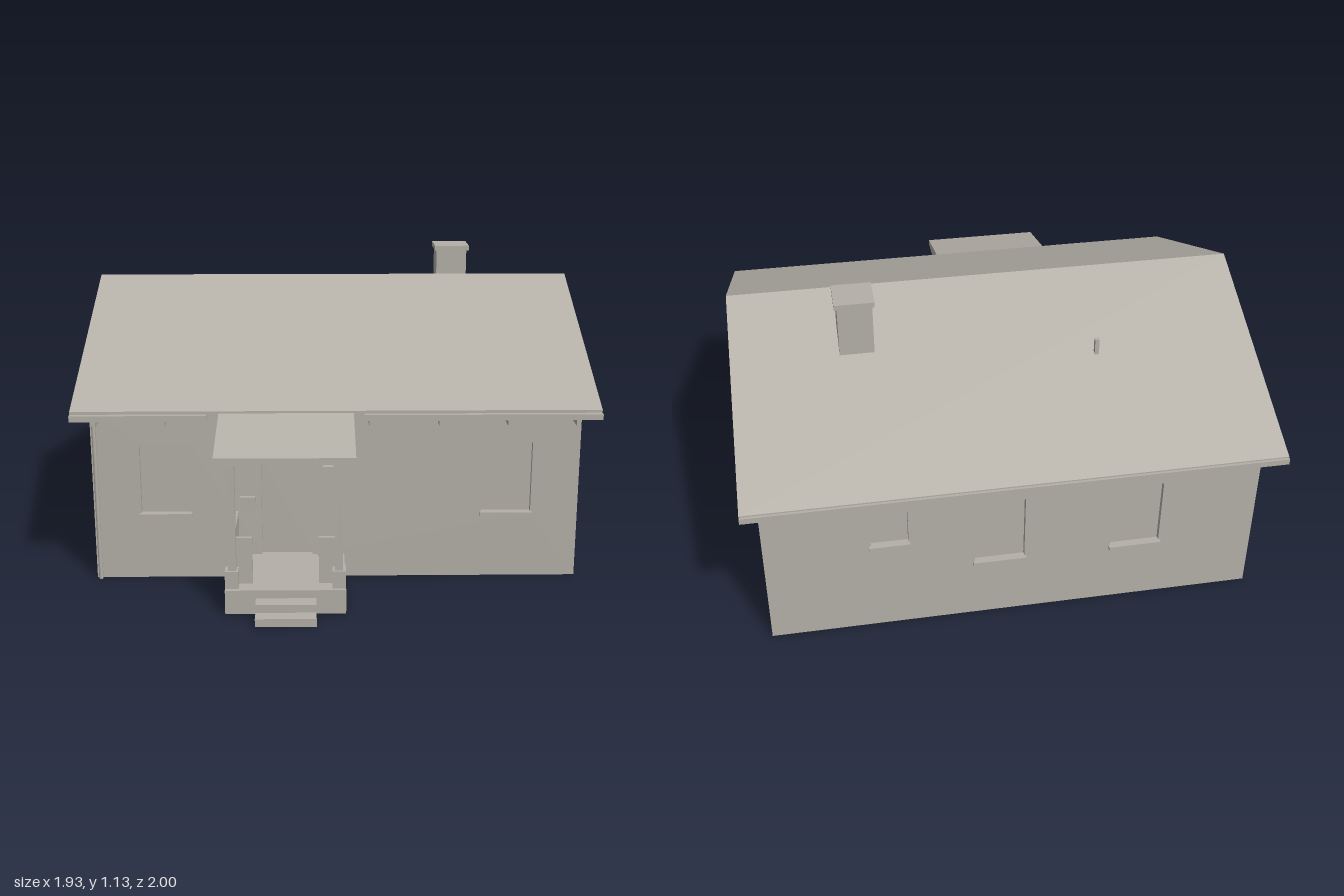
import * as THREE from 'three';

export function createModel() {
  const house = new THREE.Group();
  house.name = 'house';
  const stone = new THREE.MeshStandardMaterial({ color: 0xb4b0a8, side: THREE.DoubleSide });
  stone.name = 'warm grey';

  function add(name, geometry, parent = house) {
    const mesh = new THREE.Mesh(geometry, stone);
    mesh.name = name;
    parent.add(mesh);
    return mesh;
  }
  // Box given by its limits on each axis
  function box(name, x0, x1, y0, y1, z0, z1, parent) {
    const m = add(name, new THREE.BoxGeometry(x1 - x0, y1 - y0, z1 - z0), parent);
    m.position.set((x0 + x1) / 2, (y0 + y1) / 2, (z0 + z1) / 2);
    return m;
  }
  // Profile of [z, y] points swept along x
  function sweepX(name, points, x0, x1) {
    const shape = new THREE.Shape(points.map(([z, y]) => new THREE.Vector2(-z, y)));
    const g = new THREE.ExtrudeGeometry(shape, { depth: x1 - x0, bevelEnabled: false });
    g.rotateY(Math.PI / 2).translate(x0, 0, 0);
    return add(name, g);
  }

  const X = 0.907, FRONT = 0.565, BACK = -0.897, RIDGE = -0.165, EAVE = 0.68, PEAK = 1.004;

  // Thin wall with recessed openings; opening = [u0, u1, y0, y1, hasSill]
  function wall(name, outline, openings, angle, x, z) {
    const group = new THREE.Group();
    group.name = name;
    const shape = new THREE.Shape(outline.map(([u, y]) => new THREE.Vector2(u, y)));
    for (const [u0, u1, y0, y1, sill] of openings) {
      shape.holes.push(new THREE.Path([[u0, y0], [u0, y1], [u1, y1], [u1, y0]]
        .map(([u, y]) => new THREE.Vector2(u, y))));
      // Open-fronted box forms the reveal and the pane
      const g = new THREE.BoxGeometry(u1 - u0, y1 - y0, 0.02);
      const index = Array.from(g.index.array);
      index.splice(24, 6);
      g.setIndex(index);
      g.clearGroups();
      add('recess', g, group).position.set((u0 + u1) / 2, (y0 + y1) / 2, -0.01);
      if (sill) box('sill', u0 - 0.006, u1 + 0.006, y0 - 0.007, y0 + 0.007, -0.015, 0.015, group);
    }
    add('wallFace', new THREE.ShapeGeometry(shape), group);
    group.rotation.y = angle;
    group.position.set(x, 0, z);
    house.add(group);
    return group;
  }

  const long = [[-X, 0], [X, 0], [X, EAVE], [-X, EAVE]];
  wall('frontWall', long, [
    [-0.73, -0.545, 0.252, 0.53, true],
    [0.545, 0.73, 0.252, 0.53, true],
    [-0.28, -0.09, 0.09, 0.475, false],
  ], 0, 0, FRONT);
  wall('backWall', long, [
    [-0.525, -0.39, 0.382, 0.53, true],
    [-0.15, 0.035, 0.252, 0.53, true],
    [0.36, 0.545, 0.252, 0.53, true],
  ], Math.PI, 0, BACK);

  // Gable walls, each with an attic vent
  const gable = (s) => [[s * FRONT, 0], [s * BACK, 0], [s * BACK, EAVE], [s * RIDGE, PEAK], [s * FRONT, EAVE]];
  wall('leftGable', gable(-1), [
    [0.07, 0.258, 0.252, 0.53, true],
    [0.11, 0.22, 0.705, 0.78, false],
  ], Math.PI / 2, X, 0);
  wall('rightGable', gable(1), [
    [-0.595, -0.405, 0.252, 0.53, true],
    [0.067, 0.257, 0.252, 0.53, true],
    [-0.22, -0.11, 0.705, 0.78, false],
  ], -Math.PI / 2, -X, 0);

  // Main roof with boxed eaves
  sweepX('roof', [
    [0.645, 0.645], [0.645, 0.678], [RIDGE, 1.036], [-0.99, 0.672], [-0.99, 0.645],
    [BACK, 0.645], [BACK, EAVE], [RIDGE, PEAK], [FRONT, EAVE], [FRONT, 0.645],
  ], -0.963, 0.963);

  // Gutters, brackets and downpipe
  box('frontGutter', -0.963, -0.47, 0.645, 0.667, 0.64, 0.665);
  box('frontGutter', 0.1, 0.963, 0.645, 0.667, 0.64, 0.665);
  box('backGutter', -0.963, 0.963, 0.645, 0.667, -1, -0.985);
  for (const x of [-0.88, -0.63, 0.125, 0.38, 0.63, 0.88]) {
    box('eaveBracket', x - 0.007, x + 0.007, 0.617, 0.65, FRONT, 0.64);
  }
  const pipe = add('downpipe', new THREE.CylinderGeometry(0.008, 0.008, 0.645, 8));
  pipe.position.set(-0.892, 0.3225, 0.575);

  // Chimney and roof vent
  box('chimney', 0.443, 0.57, 0.85, 1.11, -0.445, -0.32);
  box('chimneyCap', 0.435, 0.58, 1.11, 1.13, -0.457, -0.313);
  box('roofVent', -0.374, -0.358, 0.85, 0.935, -0.535, -0.519);

  // Porch floor and steps
  box('porchFloor', -0.4, 0.03, 0, 0.09, FRONT, 0.895);
  box('upperStep', -0.29, -0.075, 0, 0.06, 0.895, 0.95);
  box('lowerStep', -0.29, -0.075, 0, 0.03, 0.95, 1);

  // Porch posts and parapets, mirrored about the porch centre
  const centre = -0.185;
  for (const s of [-1, 1]) {
    const across = (name, a, b, y0, y1, z0, z1) => {
      const p = centre + s * a, q = centre + s * b;
      box(name, Math.min(p, q), Math.max(p, q), y0, y1, z0, z1);
    };
    across('postBase', 0.167, 0.215, 0.09, 0.155, 0.83, 0.88);
    across('post', 0.175, 0.203, 0.155, 0.55, 0.842, 0.87);
    across('postCapital', 0.169, 0.209, 0.545, 0.57, 0.836, 0.876);
    across('parapet', 0.182, 0.197, 0.09, 0.265, FRONT, 0.835);
    across('parapetReturn', 0.118, 0.182, 0.09, 0.265, 0.82, 0.835);
  }

  // Porch roof
  sweepX('porchRoof', [
    [FRONT, 0.572], [0.935, 0.572], [0.935, 0.595], [0.645, 0.67], [FRONT, 0.67],
  ], -0.427, 0.062);

  // Small fittings on the walls
  box('mailbox', -0.36, -0.303, 0.265, 0.325, FRONT, 0.582);
  box('porchLamp', -0.05, 0, 0.375, 0.445, FRONT, 0.59);
  box('meterBox', -0.935, -X, 0.25, 0.33, -0.72, -0.63);
  box('lowVent', -0.912, -X, 0.035, 0.07, -0.22, -0.13);
  const spout = add('wallSpout', new THREE.CylinderGeometry(0.009, 0.009, 0.02, 10));
  spout.rotation.z = Math.PI / 2;
  spout.position.set(0.912, 0.125, 0.42);

  return house;
}
